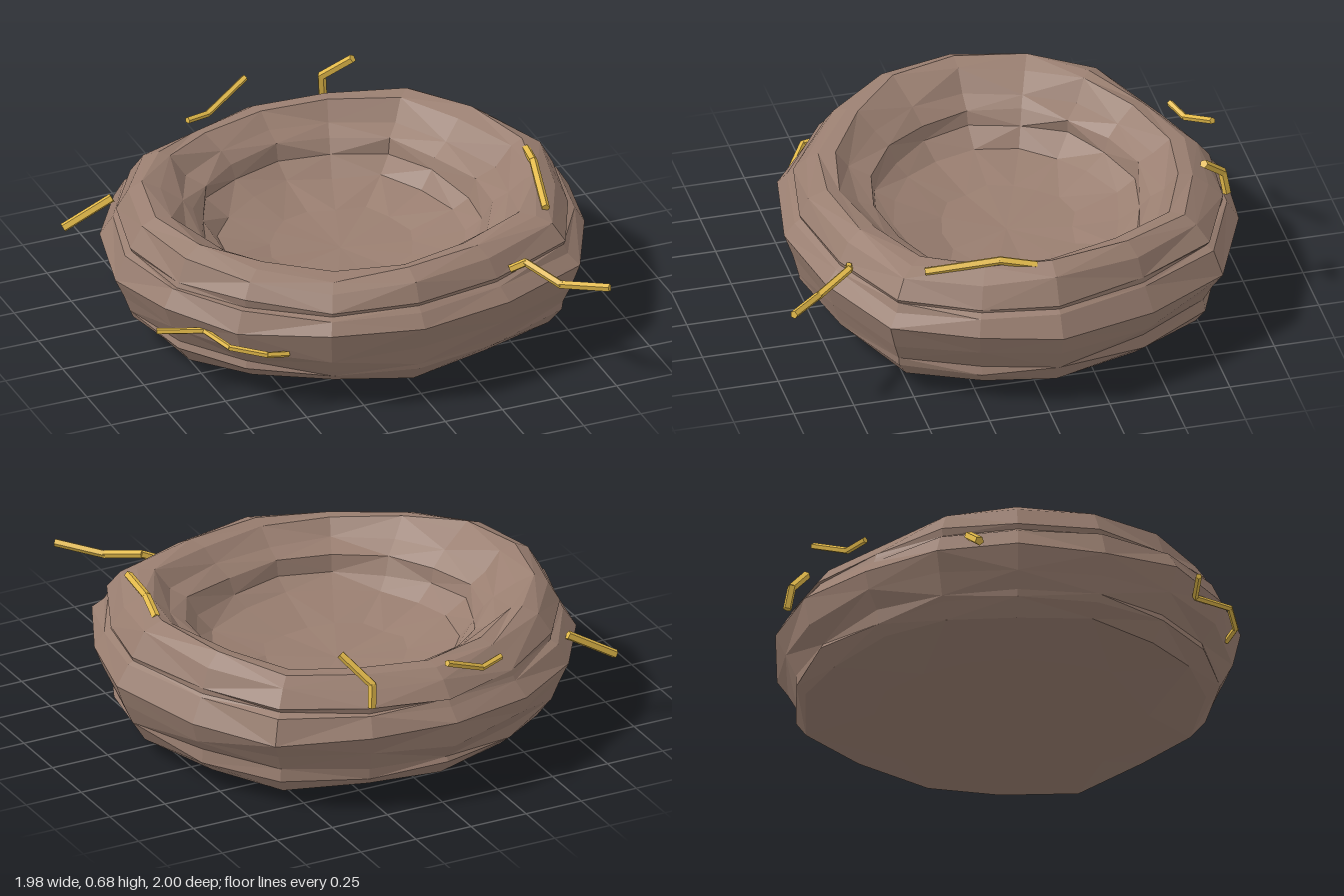
import * as THREE from 'three';

const twig = new THREE.MeshStandardMaterial({ color: 0x997e70, flatShading: true });
twig.name = 'twigBrown';
const gold = new THREE.MeshStandardMaterial({ color: 0xe3ba4a, flatShading: true });
gold.name = 'strawYellow';

// Widest outline of the nest, as [x, z, rim lift], running from +x towards +z
const outline = [
  [0.99, -0.06, 0.02], [0.92, 0.27, 0], [0.76, 0.6, -0.01], [0.38, 0.77, -0.02],
  [-0.02, 0.84, -0.02], [-0.4, 0.77, -0.045], [-0.72, 0.55, -0.02], [-0.92, 0.27, 0],
  [-0.99, -0.07, 0.01], [-0.91, -0.42, 0.005], [-0.73, -0.7, 0], [-0.44, -0.89, -0.05],
  [-0.07, -1, -0.045], [0.3, -0.97, -0.025], [0.66, -0.81, 0], [0.86, -0.47, 0.01],
];
const centreZ = -0.08;

// Cross-section of the wall as [scale, height, scale jitter, height jitter, share of rim lift],
// from under the base, over the rim, to the floor
const outerProfile = [
  [0, 0, 0, 0, 0], [0.59, 0.006, 0.03, 0.005, 0], [0.86, 0.07, 0.015, 0.015, 0],
  [0.92, 0.125, 0.014, 0.012, 0], [0.92, 0.165, 0.016, 0.014, 0], [0.965, 0.24, 0.014, 0.02, 0],
  [1, 0.335, 0, 0.025, 0], [0.95, 0.41, 0.01, 0.014, 0.3], [0.925, 0.425, 0.008, 0.01, 0.3],
  [0.93, 0.445, 0.01, 0.012, 0.3], [0.88, 0.525, 0.014, 0.01, 1], [0.81, 0.56, 0.016, 0.008, 1],
  [0.745, 0.545, 0.014, 0.01, 0.4],
];
const innerProfile = [
  [0.745, 0.545, 0.014, 0.01, 0.4], [0.67, 0.475, 0.02, 0.012, 0], [0.61, 0.435, 0.02, 0.015, 0],
  [0.58, 0.37, 0.02, 0.015, 0], [0.5, 0.315, 0.02, 0.015, 0], [0.3, 0.265, 0.02, 0.008, 0],
  [0, 0.245, 0, 0, 0],
];

// Repeatable value from -1 to 1
function wobble(i, k) {
  const v = Math.sin(i * 12.99 + k * 78.23) * 43758.55;
  return (v - Math.floor(v)) * 2 - 1;
}

// Faceted shell made of jittered copies of the outline
function ringShell(profile) {
  const n = outline.length;
  const point = (i, j) => {
    const [x, z, lift] = outline[i % n];
    const [s, y, scaleJitter, heightJitter, liftShare] = profile[j];
    const key = Math.round(s * 1000 + y * 100);
    const scale = s + wobble(i % n, key) * scaleJitter;
    const height = y + lift * liftShare + wobble(i % n, key + 7) * heightJitter;
    return [x * scale, Math.max(0, height), centreZ + (z - centreZ) * scale];
  };
  const positions = [];
  for (let j = 0; j < profile.length - 1; j++) {
    for (let i = 0; i < n; i++) {
      const a = point(i, j), b = point(i + 1, j), c = point(i, j + 1), d = point(i + 1, j + 1);
      if (profile[j][0] === 0) positions.push(...a, ...c, ...d);
      else if (profile[j + 1][0] === 0) positions.push(...a, ...c, ...b);
      else if ((i + j) % 2) positions.push(...a, ...c, ...b, ...b, ...c, ...d);
      else positions.push(...a, ...c, ...d, ...a, ...d, ...b);
    }
  }
  const geometry = new THREE.BufferGeometry();
  geometry.setAttribute('position', new THREE.Float32BufferAttribute(positions, 3));
  geometry.computeVertexNormals();
  return geometry;
}

// Bent straw: thin rods joining the given points
function straw(name, radius, points) {
  const group = new THREE.Group();
  group.name = name;
  const up = new THREE.Vector3(0, 1, 0);
  for (let i = 0; i < points.length - 1; i++) {
    const a = new THREE.Vector3(...points[i]);
    const b = new THREE.Vector3(...points[i + 1]);
    const dir = b.clone().sub(a);
    const rod = new THREE.Mesh(new THREE.CylinderGeometry(radius, radius, dir.length() + radius * 0.5, 5), gold);
    rod.name = 'strawPiece';
    rod.position.copy(a).add(b).multiplyScalar(0.5);
    rod.quaternion.setFromUnitVectors(up, dir.normalize());
    group.add(rod);
  }
  return group;
}

export function createModel() {
  const model = new THREE.Group();
  model.name = 'nest';

  // Wall and hollow
  const wall = new THREE.Mesh(ringShell(outerProfile), twig);
  wall.name = 'nestWall';
  const hollow = new THREE.Mesh(ringShell(innerProfile), twig);
  hollow.name = 'nestHollow';
  model.add(wall, hollow);

  // Loose straws
  model.add(
    straw('frontStraw', 0.017, [[0.42, 0.45, 0.685], [0.48, 0.475, 0.7], [0.57, 0.43, 0.85], [0.72, 0.455, 0.99]]),
    straw('leftRimStraw', 0.018, [[0.68, 0.545, 0.43], [0.75, 0.595, 0.14], [0.78, 0.57, 0]]),
    straw('backLeftStraw', 0.018, [[0.28, 0.46, -0.925], [0.27, 0.55, -0.91], [0.36, 0.66, -0.81]]),
    straw('backStraw', 0.014, [[-0.34, 0.51, -0.85], [-0.24, 0.5, -0.885], [-0.05, 0.59, -0.95]]),
    straw('backRightStraw', 0.019, [[-0.98, 0.275, -0.62], [-0.79, 0.385, -0.585]]),
    straw('frontRightStraw', 0.013, [[-0.98, 0.29, 0.34], [-0.8, 0.285, 0.4], [-0.76, 0.285, 0.57],
      [-0.63, 0.265, 0.65], [-0.54, 0.25, 0.65]]),
  );
  return model;
}
